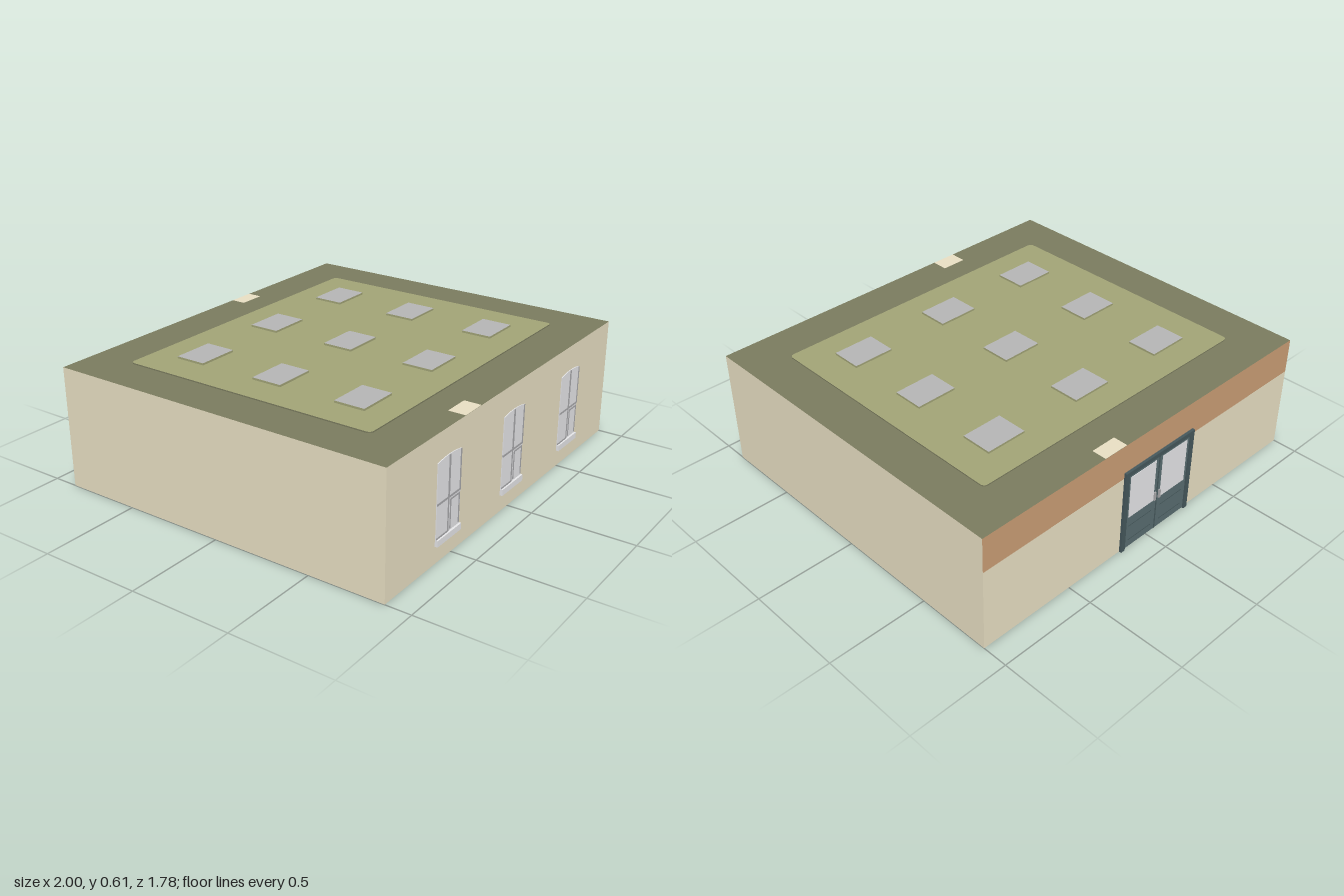
import * as THREE from 'three';

const mat = (name, color) => {
  const m = new THREE.MeshStandardMaterial({ color });
  m.name = name;
  return m;
};

export function createModel() {
  const wall = mat('cream wall', 0xe8dfc3);
  const band = mat('brown band', 0xc99d75);
  const roof = mat('olive roof', 0x7a7b5e);
  const panel = mat('light olive panel', 0xa1a376);
  const floor = mat('dark green floor', 0x5f9081);
  const lamp = mat('grey lamp', 0xb4b4b4);
  const glass = mat('pale glass', 0xe6e6e8);
  const frame = mat('grey frame', 0xa8a8aa);
  const doorPaint = mat('slate door', 0x586c6f);
  const doorTrim = mat('dark slate trim', 0x45575b);

  const model = new THREE.Group();
  model.name = 'building';

  // Box given by its lower and upper limits on each axis
  const box = (name, material, [x0, x1], [y0, y1], [z0, z1], parent = model) => {
    const mesh = new THREE.Mesh(new THREE.BoxGeometry(x1 - x0, y1 - y0, z1 - z0), material);
    mesh.position.set((x0 + x1) / 2, (y0 + y1) / 2, (z0 + z1) / 2);
    mesh.name = name;
    parent.add(mesh);
    return mesh;
  };
  const extrude = (name, material, shape, depth, parent = model) => {
    const mesh = new THREE.Mesh(
      new THREE.ExtrudeGeometry(shape, { depth, bevelEnabled: false, curveSegments: 6 }), material);
    mesh.name = name;
    parent.add(mesh);
    return mesh;
  };

  // Walls, with a brown band along the top of the back
  const D = 0.875, H = 0.598, bandY = 0.42;
  box('lowerWalls', [wall, wall, roof, floor, wall, wall], [-1, 1], [0.0006, bandY], [-D, D]);
  box('upperWalls', [wall, wall, roof, floor, wall, band], [-1, 1], [bandY, H], [-D, D]);

  // Columns whose ends show in the roof and floor
  box('backColumn', wall, [0.17, 0.303], [0, H + 0.0008], [-D + 0.001, -0.8]);
  box('frontColumn', wall, [-0.415, -0.285], [0.05, H + 0.0008], [0.79, D - 0.001]);

  // Raised roof panel with rounded corners
  const a = 0.79, b = 0.66, r = 0.025;
  const plate = new THREE.Shape();
  plate.moveTo(-a + r, -b);
  plate.lineTo(a - r, -b);
  plate.quadraticCurveTo(a, -b, a, -b + r);
  plate.lineTo(a, b - r);
  plate.quadraticCurveTo(a, b, a - r, b);
  plate.lineTo(-a + r, b);
  plate.quadraticCurveTo(-a, b, -a, b - r);
  plate.lineTo(-a, -b + r);
  plate.quadraticCurveTo(-a, -b, -a + r, -b);
  const roofPanel = extrude('roofPanel', [panel, roof], plate, 0.006);
  roofPanel.rotation.x = -Math.PI / 2;
  roofPanel.position.y = H;

  // Nine rectangular lamps on the panel
  for (const x of [-0.527, 0, 0.527]) {
    for (const z of [-0.442, 0, 0.442]) {
      box('roofLamp', [panel, panel, lamp, panel, panel, panel],
        [x - 0.104, x + 0.104], [H, 0.614], [z - 0.077, z + 0.077]);
    }
  }

  // Front windows: arched pane, glazing bars and a sill
  const w = 0.093;
  const pane = new THREE.Shape();
  pane.moveTo(-w, 0.1);
  pane.lineTo(w, 0.1);
  pane.lineTo(w, 0.465);
  pane.quadraticCurveTo(0, 0.485, -w, 0.465);
  pane.closePath();
  for (const x of [-0.537, 0.017, 0.581]) {
    const win = new THREE.Group();
    win.name = 'window';
    win.position.set(x, 0, D);
    model.add(win);
    extrude('windowPane', glass, pane, 0.004, win);
    const bar = (xs, ys) => box('glazingBar', frame, xs, ys, [0, 0.006], win);
    bar([-w, w], [0.272, 0.282]);
    bar([-0.006, 0.006], [0.282, 0.473]);
    bar([w - 0.008, w], [0.282, 0.465]);
    bar([-w, 0], [0.115, 0.123]);
    bar([-0.006, 0.002], [0.115, 0.272]);
    // Small sash in the lower right
    bar([0.012, 0.088], [0.257, 0.265]);
    bar([0.012, 0.019], [0.123, 0.257]);
    bar([0.081, 0.088], [0.123, 0.257]);
    box('sill', glass, [-w - 0.002, w + 0.002], [0.085, 0.115], [0, 0.014], win);
  }

  // Back double door
  const door = new THREE.Group();
  door.name = 'door';
  door.position.set(-0.055, 0, -D);
  model.add(door);
  const dw = 0.23, dh = 0.45;
  for (const s of [-1, 1]) {
    const span = (p, q) => (s > 0 ? [p, q] : [-q, -p]);
    box('doorPost', doorTrim, span(dw - 0.024, dw), [0, dh], [-0.013, 0], door);
    box('doorLeaf', doorPaint, span(0.002, dw - 0.024), [0.004, dh - 0.02], [-0.006, 0], door);
    box('doorPane', glass, span(0.022, 0.19), [0.18, 0.41], [-0.008, 0], door);
    box('lowerPanelLine', doorTrim, span(0.03, 0.182), [0.125, 0.129], [-0.007, 0], door);
    box('lowerPanelLine', doorTrim, span(0.03, 0.182), [0.042, 0.046], [-0.007, 0], door);
    box('doorHandle', frame, span(0.01, 0.02), [0.18, 0.225], [-0.014, 0], door);
  }
  box('doorLintel', doorTrim, [-dw, dw], [dh - 0.022, dh], [-0.0135, 0], door);
  box('doorSeam', doorTrim, [-0.003, 0.003], [0.004, dh - 0.02], [-0.008, 0], door);

  return model;
}
